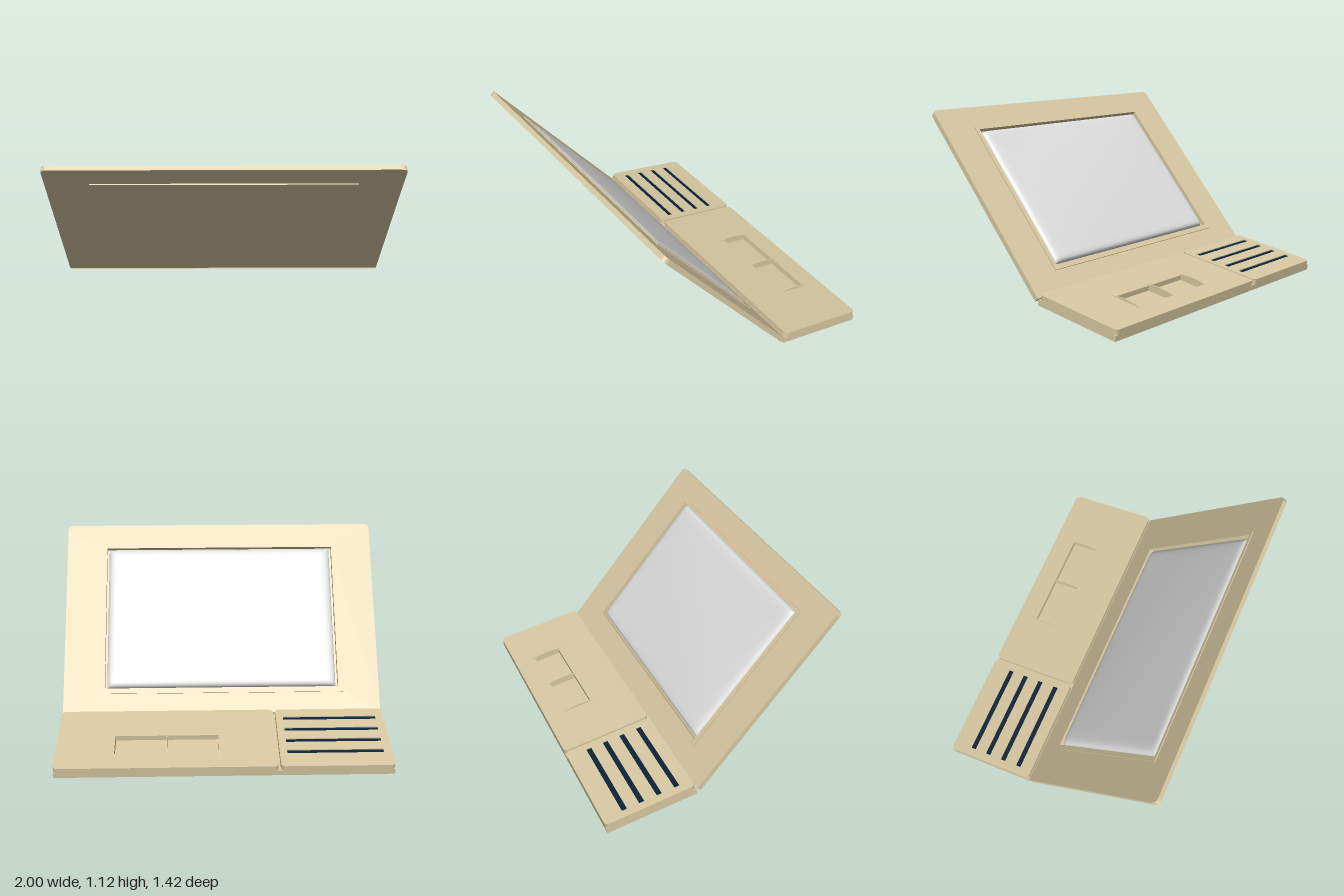
import * as THREE from 'three';

const tan = new THREE.MeshStandardMaterial({ color: 0xd8c9a2 });
tan.name = 'tan plastic';
const glass = new THREE.MeshStandardMaterial({ color: 0xdedede });
glass.name = 'pale screen';
const navy = new THREE.MeshStandardMaterial({ color: 0x0a2238 });
navy.name = 'navy vent';

function mesh(parent, name, geometry, material) {
  const m = new THREE.Mesh(geometry, material);
  m.name = name;
  parent.add(m);
  return m;
}

// Rectangle from (x0,y0) to (x1,y1); r0 rounds the low-y corners, r1 the high-y corners
function rect(x0, y0, x1, y1, r0 = 0, r1 = r0, S = THREE.Shape) {
  const s = new S();
  s.moveTo(x0 + r0, y0);
  s.lineTo(x1 - r0, y0);
  if (r0) s.quadraticCurveTo(x1, y0, x1, y0 + r0);
  s.lineTo(x1, y1 - r1);
  if (r1) s.quadraticCurveTo(x1, y1, x1 - r1, y1);
  s.lineTo(x0 + r1, y1);
  if (r1) s.quadraticCurveTo(x0, y1, x0, y1 - r1);
  s.lineTo(x0, y0 + r0);
  if (r0) s.quadraticCurveTo(x0, y0, x0 + r0, y0);
  s.closePath();
  return s;
}
const hole = (x0, y0, x1, y1) => rect(x0, y0, x1, y1, 0, 0, THREE.Path);

// Plate extruded between two heights along z
function plate(shape, z0, z1) {
  const g = new THREE.ExtrudeGeometry(shape, { depth: z1 - z0, bevelEnabled: false, curveSegments: 6 });
  return g.translate(0, 0, z0);
}
// Same plate laid flat: shape y becomes distance towards the back
const flat = (shape, y0, y1) => plate(shape, y0, y1).rotateX(-Math.PI / 2);

// Bulging screen with steep rounded edges
function screenGeometry(halfW, y0, y1) {
  const g = new THREE.PlaneGeometry(2, 2, 56, 44);
  const p = g.attributes.position;
  for (let i = 0; i < p.count; i++) {
    const u = Math.sin(p.getX(i) * Math.PI / 2), v = Math.sin(p.getY(i) * Math.PI / 2);
    const edge = Math.sqrt(Math.max(0, (1 - u ** 40) * (1 - v ** 40)));
    const dome = (1 - u * u) * (1 - v * v);
    p.setXYZ(i, u * halfW, (y0 + y1) / 2 + v * (y1 - y0) / 2, -0.024 + 0.036 * edge + 0.016 * dome);
  }
  g.computeVertexNormals();
  return g;
}

function buildLid() {
  const lid = new THREE.Group();
  lid.name = 'lid';
  const opening = [-0.74, 0.165, 0.74, 1.125];

  const shell = rect(-1, 0, 1, 1.292, 0, 0.035);
  shell.holes.push(hole(...opening));
  mesh(lid, 'lidShell', plate(shell, -0.03, 0), tan);

  const bezel = rect(-0.768, 0.133, 0.768, 1.144);
  bezel.holes.push(hole(...opening));
  mesh(lid, 'screenBezel', plate(bezel, -0.004, 0.007), tan);

  mesh(lid, 'backPanel', plate(rect(-0.75, 0.157, 0.75, 1.14), -0.038, -0.024), tan);
  mesh(lid, 'screen', screenGeometry(0.727, 0.176, 1.118), glass);

  // Local +z is the inner face, turned to look back over the base
  lid.rotation.set(0.698, Math.PI, 0);
  lid.position.set(0, 0.135, -0.145);
  return lid;
}

function buildBase() {
  const base = new THREE.Group();
  base.name = 'base';
  const depth = 0.563, top = 0.066;

  mesh(base, 'baseSlab', flat(rect(-1, 0, 1, depth), 0, 0.034), tan);

  // Narrow panel with four vent slots
  const ventPanel = rect(-1, 0.003, -0.33, depth, 0.03);
  for (const d of [0.095, 0.207, 0.317, 0.425]) {
    ventPanel.holes.push(hole(-0.95, d - 0.016, -0.375, d + 0.016));
    mesh(base, 'ventSlot', flat(rect(-0.951, d - 0.017, -0.374, d + 0.017), 0.052, 0.06), navy);
  }
  mesh(base, 'ventPanel', flat(ventPanel, 0.034, top), tan);

  // Wide panel with a twin recess
  const widePanel = rect(-0.317, 0.003, 1, depth, 0.03);
  widePanel.holes.push(hole(0.03, 0.258, 0.336, 0.43), hole(0.344, 0.258, 0.65, 0.43));
  mesh(base, 'widePanel', flat(widePanel, 0.034, top), tan);

  // Thin arched ribs beside and between the recesses
  const arch = new THREE.Shape();
  arch.moveTo(0.235, top - 0.004);
  arch.lineTo(0.45, top - 0.004);
  arch.lineTo(0.45, top);
  arch.quadraticCurveTo(0.33, top + 0.024, 0.235, top);
  arch.closePath();
  for (const x of [0.022, 0.336, 0.65]) {
    const g = plate(arch, 0, 0.008).rotateY(Math.PI / 2);
    mesh(base, 'recessRib', g, tan).position.x = x;
  }

  base.rotation.x = -0.174;
  base.position.set(0, 0.0985, -0.143);
  return base;
}

export function createModel() {
  const model = new THREE.Group();
  model.name = 'foldingComputer';
  model.add(buildLid(), buildBase());
  return model;
}
